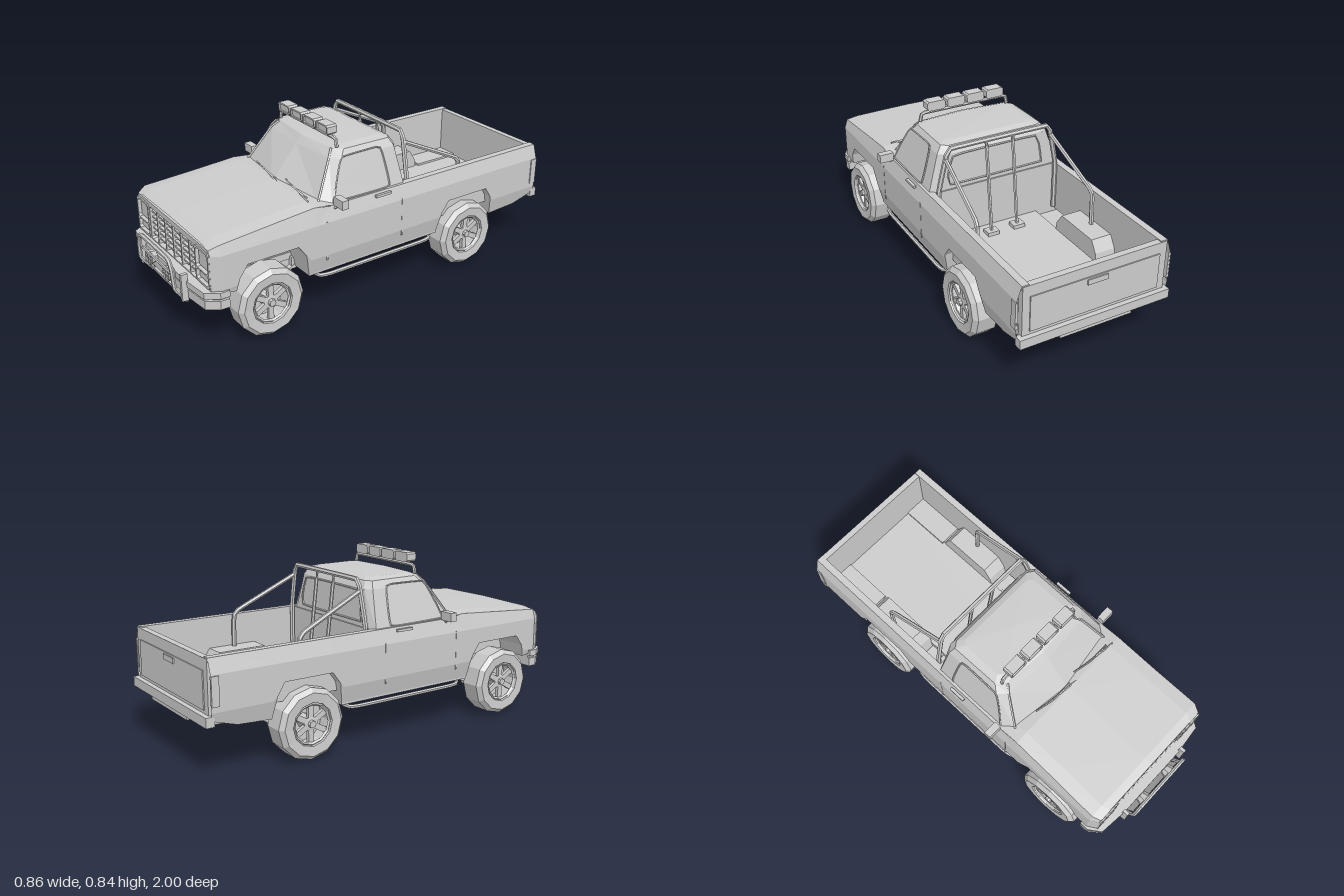
import * as THREE from 'three';

const mat = new THREE.MeshStandardMaterial({ color: 0xcccccc, flatShading: true, side: THREE.DoubleSide });
const V = (p) => new THREE.Vector3(...p);
const SIDES = [-1, 1];

export function createModel() {
  const truck = new THREE.Group();
  truck.name = 'pickupTruck';

  const add = (name, geo, parent = truck) => {
    const m = new THREE.Mesh(geo, mat);
    m.name = name;
    parent.add(m);
    return m;
  };
  const box = (name, w, h, d, x, y, z, parent) => {
    const m = add(name, new THREE.BoxGeometry(w, h, d), parent);
    m.position.set(x, y, z);
    return m;
  };
  const tube = (name, pts, r, sides = 6, parent) => add(name, new THREE.TubeGeometry(
    new THREE.CatmullRomCurve3(pts.map(V), false, 'catmullrom', 0.12), pts.length * 5, r, sides), parent);
  const rod = (name, a, b, r, sides = 8) => add(name, new THREE.TubeGeometry(new THREE.LineCurve3(V(a), V(b)), 1, r, sides));
  const extrude = (name, pts, depth, holes = []) => {
    const s = new THREE.Shape(pts.map((p) => new THREE.Vector2(...p)));
    holes.forEach((h) => s.holes.push(new THREE.Path(h.map((p) => new THREE.Vector2(...p)))));
    return add(name, new THREE.ExtrudeGeometry(s, { depth, bevelEnabled: false }));
  };
  const rect = (x0, y0, x1, y1, c = 0) => [[x0 + c, y0], [x1 - c, y0], [x1, y0 + c], [x1, y1 - c],
    [x1 - c, y1], [x0 + c, y1], [x0, y1 - c], [x0, y0 + c]];
  // Surface through rows of points
  const skin = (name, rows) => {
    const n = rows[0].length, idx = [];
    for (let i = 0; i < rows.length - 1; i++) for (let j = 0; j < n - 1; j++) {
      const a = i * n + j, b = a + n;
      idx.push(a, b, a + 1, b, b + 1, a + 1);
    }
    const g = new THREE.BufferGeometry();
    g.setAttribute('position', new THREE.Float32BufferAttribute(rows.flat(2), 3));
    g.setIndex(idx);
    const flat = g.toNonIndexed();
    flat.computeVertexNormals();
    return add(name, flat);
  };
  // Linear lookup in a table sorted by its first column
  const look = (t, v) => {
    if (v <= t[0][0]) return t[0][1];
    for (let i = 1; i < t.length; i++) if (v <= t[i][0]) {
      const [a, b] = [t[i - 1], t[i]];
      return a[1] + (b[1] - a[1]) * (v - a[0]) / (b[0] - a[0]);
    }
    return t[t.length - 1][1];
  };

  // Body sides, with the wheel arches cut into the lower edge
  const arches = [
    [[0.415, 0.21], [0.44, 0.33], [0.48, 0.385], [0.735, 0.385], [0.775, 0.33], [0.79, 0.27]],
    [[-0.685, 0.215], [-0.665, 0.32], [-0.63, 0.375], [-0.385, 0.375], [-0.345, 0.32], [-0.325, 0.21]]];
  const bottom = [[-0.975, 0.265], [-0.85, 0.225], ...arches[1], ...arches[0], [0.9, 0.29]];
  const top = [[-0.975, 0.527], [0.3, 0.527], [0.38, 0.54], [0.86, 0.505], [0.9, 0.485]];
  const width = [[0.2, 0.355], [0.3, 0.38], [0.46, 0.38], [0.53, 0.357]];
  const sideX = (y, z) => look(width, y) - Math.max(0, z - 0.86) * 0.6;
  const stations = [...bottom.map((p) => p[0]), 0.3, 0.38, 0.86].sort((a, b) => a - b);
  for (const s of SIDES) {
    skin('bodySide', stations.map((z) => {
      const b = look(bottom, z);
      return [b, Math.max(b, 0.3), 0.46, look(top, z)].map((y) => [s * sideX(y, z), y, z]);
    }));
    // Wheel wells
    for (const a of arches) {
      skin('wheelWell', a.map(([z, y]) => [[s * 0.22, y, z], [s * sideX(y, z), y, z]]));
      skin('wheelWellInner', a.map(([z, y]) => [[s * 0.22, y, z], [s * 0.22, 0.2, z]]));
    }
    // Floor outside the wells, sills and bed walls
    box('sideFloor', 0.14, 0.04, 0.74, s * 0.29, 0.232, 0.045);
    box('rearSideFloor', 0.14, 0.03, 0.27, s * 0.28, 0.275, -0.82);
    box('bedWall', 0.012, 0.25, 0.83, s * 0.331, 0.402, -0.555);
    box('beltRail', 0.034, 0.02, 1.27, s * 0.341, 0.518, -0.34);
    // Door seams, handle and tail lamp
    for (const z of [0.33, -0.095]) box('doorSeam', 0.004, 0.19, 0.006, s * 0.379, 0.37, z);
    box('doorHandle', 0.014, 0.012, 0.085, s * 0.374, 0.514, 0.015);
    box('tailLamp', 0.012, 0.13, 0.035, s * 0.379, 0.39, -0.957);
  }
  box('floorPan', 0.45, 0.035, 1.82, 0, 0.262, -0.06);
  box('bedFrontWall', 0.7, 0.28, 0.015, 0, 0.385, -0.14);
  box('tailgate', 0.71, 0.255, 0.03, 0, 0.395, -0.962);
  box('tailgatePanel', 0.64, 0.17, 0.008, 0, 0.385, -0.978);
  box('tailgateHandle', 0.1, 0.025, 0.012, 0, 0.45, -0.982);
  box('rearBumper', 0.75, 0.045, 0.04, 0, 0.262, -0.98);
  box('rearBumperStep', 0.36, 0.02, 0.04, 0, 0.232, -0.975);

  // Hood
  skin('hood', [[0.9, 0.485], [0.86, 0.505], [0.62, 0.522], [0.385, 0.54], [0.27, 0.527]].map(([z, y]) =>
    [[-1, 0], [-0.82, 0.009], [0, 0.014], [0.82, 0.009], [1, 0]].map(([u, h]) => [u * sideX(y, z), y + h, z])));

  // Cab: stacked rings around the glasshouse
  const ring = (y, half) => [...half.map(([x, z]) => [x, y, z]),
    ...half.slice().reverse().map(([x, z]) => [-x, y, z])];
  const cabRings = [
    ring(0.525, [[0, 0.388], [0.31, 0.335], [0.345, 0.28], [0.345, -0.125], [0.31, -0.14]]),
    ring(0.7, [[0, 0.245], [0.245, 0.228], [0.287, 0.19], [0.29, -0.105], [0.255, -0.13]]),
    ring(0.735, [[0, 0.215], [0.23, 0.195], [0.262, 0.16], [0.265, -0.09], [0.235, -0.11]]),
    ring(0.747, [[0, 0.18], [0.2, 0.165], [0.225, 0.14], [0.225, -0.06], [0.2, -0.08]]),
    ring(0.752, Array(5).fill([0, 0.04]))];
  skin('cab', cabRings);
  const strip = (name, pts, r = 0.004) => tube(name, [...pts, pts[0]], r, 4);
  for (const s of SIDES) {
    // Side window and its gasket, on the sloped cab side
    const win = [[0.27, 0.532], [0.245, 0.6], [0.19, 0.71], [-0.01, 0.715], [-0.03, 0.7], [-0.04, 0.532]]
      .map(([z, y]) => [s * (0.348 - (y - 0.525) * 0.325), y, z]);
    skin('sideWindow', [[win[0], win[1], win[2]], [win[5], win[4], win[3]]]);
    strip('windowGasket', win);
    // Windscreen pillar trim
    tube('pillarTrim', [[s * 0.311, 0.535, 0.332], [s * 0.247, 0.7, 0.23], [s * 0.22, 0.733, 0.2]], 0.006, 4);
    // Mirror
    box('mirror', 0.07, 0.042, 0.035, s * 0.393, 0.548, 0.265);
    tube('mirrorArm', [[s * 0.345, 0.51, 0.28], [s * 0.362, 0.515, 0.275], [s * 0.375, 0.535, 0.265]], 0.007);
  }
  strip('rearWindowGasket', [[-0.25, 0.55, -0.142], [0.25, 0.55, -0.142], [0.22, 0.69, -0.134], [-0.22, 0.69, -0.134]]);
  // Wipers
  for (const x of [-0.19, 0.07]) {
    tube('wiperBlade', [[x, 0.566, 0.35], [x + 0.1, 0.567, 0.372], [x + 0.21, 0.557, 0.37]], 0.004, 4);
    tube('wiperArm', [[x + 0.07, 0.569, 0.365], [x + 0.24, 0.553, 0.385]], 0.004, 4);
  }

  // Front fascia with openings for grille and lamps
  const lampHoles = SIDES.flatMap((s) => [[0.37, 0.462], [0.312, 0.363]].map(([a, b]) =>
    rect(s * 0.293 - 0.053, a, s * 0.293 + 0.053, b, 0.01)));
  const grilleHole = rect(-0.225, 0.3, 0.225, 0.462, 0.008);
  extrude('fascia', [[-0.356, 0.29], [0.356, 0.29], [0.356, 0.465], [0.34, 0.487], [-0.34, 0.487], [-0.356, 0.465]],
    0.03, [grilleHole, ...lampHoles]).position.z = 0.872;
  box('fasciaBack', 0.71, 0.19, 0.02, 0, 0.385, 0.868);
  for (const s of SIDES) {
    extrude('lampSurround', rect(s * 0.293 - 0.062, 0.302, s * 0.293 + 0.062, 0.472, 0.01), 0.008,
      lampHoles.slice(s < 0 ? 0 : 2, s < 0 ? 2 : 4)).position.z = 0.9;
    box('headlamp', 0.092, 0.078, 0.02, s * 0.293, 0.416, 0.885);
    box('indicator', 0.092, 0.038, 0.02, s * 0.293, 0.3375, 0.885);
  }
  for (let i = 0; i < 5; i++) box('grilleSlat', 0.45, 0.008, 0.014, 0, 0.325 + i * 0.028, 0.885);
  for (let i = -2; i <= 2; i++) box('grilleBar', 0.01, 0.162, 0.02, i * 0.08, 0.381, 0.888);

  // Front bumper, wrapped round the corners
  const bumper = (y, h, g) => {
    const half = [[0.38 + g, -0.83], [0.38 + g, -0.875], [0.34 + g, -0.925 - g], [0.2, -0.94 - g]];
    const m = extrude('frontBumper', [...half, ...half.slice().reverse().map(([x, z]) => [-x, z])], h);
    m.rotation.x = -Math.PI / 2;
    m.position.y = y;
  };
  bumper(0.265, 0.03, 0.008);
  bumper(0.25, 0.02, -0.008);
  bumper(0.212, 0.042, 0.004);

  // Bull bar with skid plate and driving lamps
  tube('bullBar', [[-0.175, 0.175, 0.93], [-0.177, 0.25, 0.985], [-0.168, 0.34, 0.99], [-0.14, 0.382, 0.99], [0.14, 0.382, 0.99],
    [0.168, 0.34, 0.99], [0.177, 0.25, 0.985], [0.175, 0.175, 0.93]], 0.01);
  tube('bullBarCross', [[-0.17, 0.315, 0.985], [0.17, 0.315, 0.985]], 0.007);
  skin('skidPlate', [[0.245, 0.975], [0.185, 0.945], [0.172, 0.86]].map(([y, z]) => [[-0.165, y, z], [0.165, y, z]]));
  for (const s of SIDES) {
    box('bullBarBracket', 0.016, 0.13, 0.03, s * 0.208, 0.265, 0.955);
    const lamp = add('drivingLamp', new THREE.CylinderGeometry(0.037, 0.028, 0.03, 8).rotateY(Math.PI / 8).rotateX(Math.PI / 2));
    lamp.position.set(s * 0.09, 0.285, 0.965);
    const rim = add('drivingLampRim', new THREE.TorusGeometry(0.034, 0.005, 4, 8).rotateZ(Math.PI / 8));
    rim.position.set(s * 0.09, 0.285, 0.981);
    for (const r of [0, Math.PI / 2]) box('lampGuard', 0.006, 0.066, 0.006, s * 0.09, 0.285, 0.983).rotation.z = r;
  }

  // Roof light bar
  tube('roofBar', [[-0.238, 0.74, 0.18], [-0.232, 0.768, 0.18], [-0.215, 0.78, 0.18], [0.215, 0.78, 0.18], [0.232, 0.768, 0.18], [0.238, 0.74, 0.18]], 0.009);
  for (const x of [-0.16, -0.053, 0.053, 0.16]) {
    const h = 0.047;
    extrude('roofLamp', rect(x - h, 0.79, x + h, 0.836, 0.008), 0.045).position.z = 0.158;
    extrude('roofLampRim', rect(x - h, 0.79, x + h, 0.836, 0.008), 0.008,
      [rect(x - h + 0.008, 0.797, x + h - 0.008, 0.829, 0.005)]).position.z = 0.203;
  }

  // Roll bar in the bed
  tube('rollHoop', [[-0.315, 0.29, -0.165], [-0.315, 0.54, -0.165], [-0.275, 0.72, -0.17], [-0.25, 0.75, -0.17],
    [0.25, 0.75, -0.17], [0.275, 0.72, -0.17], [0.315, 0.54, -0.165], [0.315, 0.29, -0.165]], 0.012);
  for (const s of SIDES) {
    tube('rollBrace', [[s * 0.28, 0.7, -0.17], [s * 0.297, 0.555, -0.48], [s * 0.3, 0.525, -0.505], [s * 0.3, 0.37, -0.51]], 0.011);
    tube('rollUpright', [[s * 0.07, 0.745, -0.17], [s * 0.07, 0.29, -0.225]], 0.009);
    box('uprightFoot', 0.06, 0.02, 0.05, s * 0.07, 0.288, -0.225);
    // Side step
    tube('sideStep', [[s * 0.3, 0.225, 0.4], [s * 0.355, 0.195, 0.36], [s * 0.365, 0.193, 0.3], [s * 0.365, 0.193, -0.23],
      [s * 0.355, 0.195, -0.29], [s * 0.3, 0.225, -0.32]], 0.01);
  }

  // Wheels, axles, leaf springs and differentials
  const tireProfile = [[0.09, -0.06], [0.145, -0.066], [0.165, -0.046], [0.165, 0.046], [0.145, 0.066], [0.1, 0.062], [0.093, 0.03]];
  const lathe = (pts, n) => new THREE.LatheGeometry(pts.map((p) => new THREE.Vector2(...p)), n).rotateZ(-Math.PI / 2);
  for (const [z, lead] of [[0.63, 0.21], [-0.503, 0.24]]) {
    for (const s of SIDES) {
      const wheel = new THREE.Group();
      wheel.name = 'wheel';
      add('tire', lathe(tireProfile, 12), wheel);
      add('rimBack', lathe([[0, -0.02], [0.095, -0.02], [0.093, 0.03]], 12), wheel);
      add('rimLip', new THREE.TorusGeometry(0.092, 0.008, 4, 12).rotateY(Math.PI / 2), wheel).position.x = 0.05;
      add('hub', lathe([[0.034, -0.02], [0.034, 0.045], [0.018, 0.048], [0.016, 0.062], [0, 0.062]], 8), wheel);
      for (let i = 0; i < 6; i++) {
        const a = i * Math.PI / 3;
        box('spoke', 0.018, 0.066, 0.026, 0.036, Math.cos(a) * 0.06, Math.sin(a) * 0.06, wheel).rotation.x = a;
      }
      wheel.position.set(s * 0.336, 0.165, z);
      wheel.rotation.y = s < 0 ? Math.PI : 0;
      truck.add(wheel);
      // Stacked leaves, each shorter and lower
      for (let i = 0; i < 3; i++) {
        const L = lead * (1 - i * 0.25), outer = [], inner = [];
        for (let k = -4; k <= 4; k++) {
          const u = k / 4 * L, y = 0.145 - i * 0.014 + 1.5 * u * u;
          outer.push([-(z + u), y]);
          inner.unshift([-(z + u), y + 0.012]);
        }
        const leaf = extrude('leafSpring', [...outer, ...inner], 0.04);
        leaf.rotation.y = Math.PI / 2;
        leaf.position.x = s * 0.225 - 0.02;
      }
      box('springClamp', 0.05, 0.085, 0.06, s * 0.225, 0.14, z);
      rod('damper', [s * 0.2, 0.13, z - 0.05], [s * 0.19, 0.27, z - 0.1], 0.014);
      for (const e of [-1, 1]) box('springHanger', 0.035, 0.06, 0.03, s * 0.225, 0.23, z + e * lead);
    }
    rod('axle', [-0.3, 0.15, z], [0.3, 0.15, z], 0.018);
    add('differential', lathe([[0, -0.12], [0.03, -0.11], [0.066, 0], [0.03, 0.11], [0, 0.12]], 8)).position.set(0, 0.155, z);
    const nose = add('differentialNose', new THREE.CylinderGeometry(0.025, 0.06, 0.1, 8).rotateX(z > 0 ? -Math.PI / 2 : Math.PI / 2));
    nose.position.set(0, 0.165, z - Math.sign(z) * 0.08);
  }
  box('gearbox', 0.16, 0.085, 0.3, 0, 0.212, 0.06);
  box('enginePan', 0.2, 0.06, 0.2, 0, 0.22, 0.35);
  rod('frontDriveshaft', [0, 0.17, 0.56], [0, 0.21, 0.15], 0.016);
  rod('rearDriveshaft', [0, 0.21, -0.05], [0, 0.17, -0.42], 0.016);
  tube('exhaust', [[-0.14, 0.225, 0.1], [-0.15, 0.225, -0.3], [-0.17, 0.235, -0.6], [-0.23, 0.205, -0.7], [-0.25, 0.215, -0.93]], 0.014);

  return truck;
}
